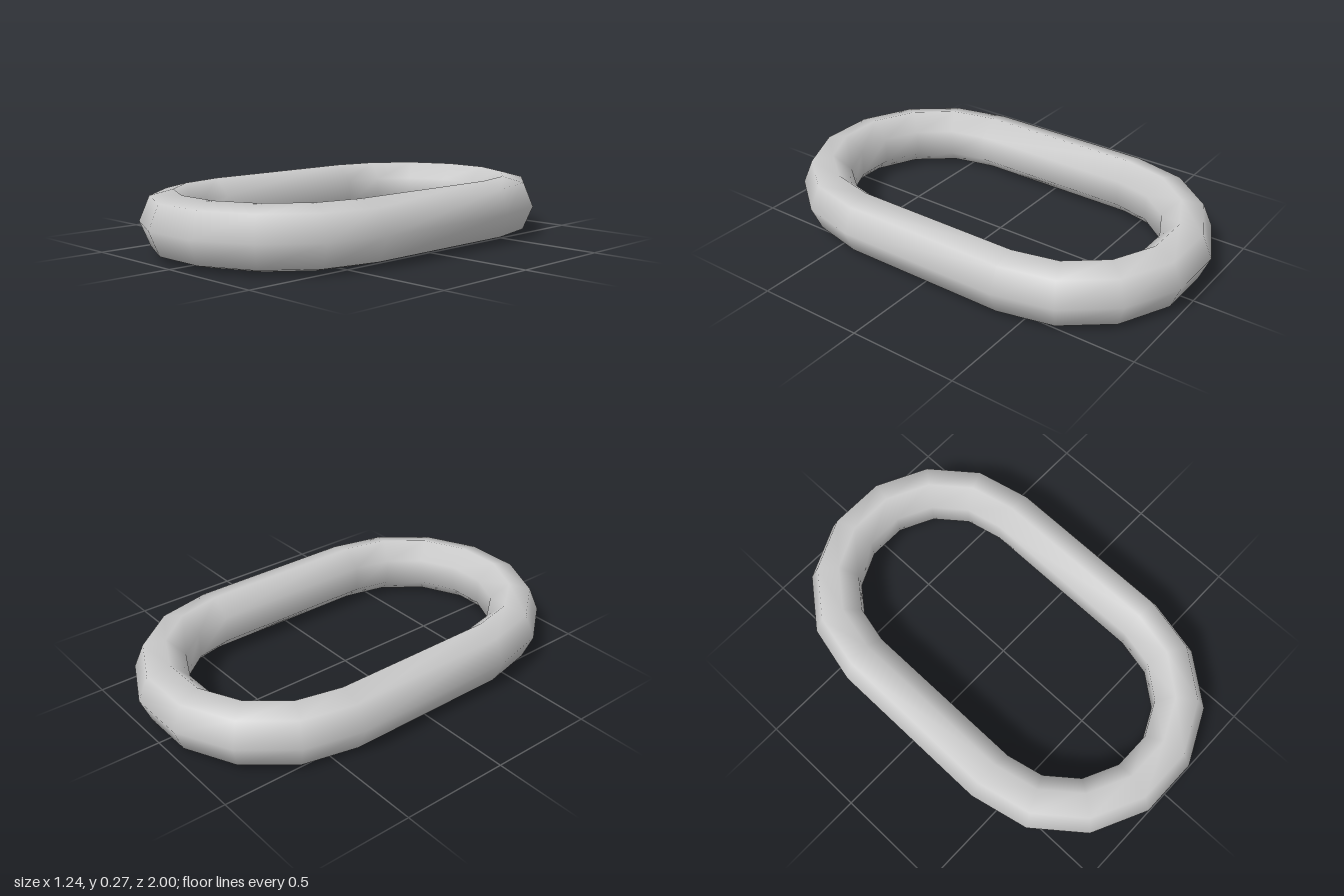
import * as THREE from 'three';

const ARC_STEPS = 7;      // segments in each rounded end
const SIDES = 7;          // sides of the bar's cross-section
const RING = 0.5;         // centre line radius of the rounded ends
const HALF_STRAIGHT = 0.395;
const BAR_X = 0.121, BAR_Y = 0.14, MID_Y = 0.137;

// Sweeps the heptagonal bar section around a closed stadium-shaped path.
function linkGeometry() {
  const positions = [], index = [];
  for (const end of [1, -1]) {
    for (let i = 0; i <= ARC_STEPS; i++) {
      const a = (i / ARC_STEPS - 0.5) * Math.PI;
      for (let j = 0; j < SIDES; j++) {
        const t = (j / SIDES) * Math.PI * 2;
        const r = RING + BAR_X * Math.cos(t);
        positions.push(
          end * r * Math.sin(a),
          MID_Y + BAR_Y * Math.sin(t),
          end * (r * Math.cos(a) + HALF_STRAIGHT)
        );
      }
    }
  }
  // Join each section to the next; the two long steps are the straight sides.
  const rings = 2 * (ARC_STEPS + 1);
  for (let i = 0; i < rings; i++) {
    const n = (i + 1) % rings;
    for (let j = 0; j < SIDES; j++) {
      const k = (j + 1) % SIDES;
      const a = i * SIDES + j, b = n * SIDES + j;
      const c = n * SIDES + k, d = i * SIDES + k;
      index.push(a, b, c, a, c, d);
    }
  }
  const geometry = new THREE.BufferGeometry();
  geometry.setAttribute('position', new THREE.Float32BufferAttribute(positions, 3));
  geometry.setIndex(index);
  geometry.computeVertexNormals();
  return geometry;
}

export function createModel() {
  const group = new THREE.Group();
  group.name = 'chainLink';
  const link = new THREE.Mesh(
    linkGeometry(),
    new THREE.MeshStandardMaterial({ color: 0xcccccc })
  );
  link.name = 'linkBar';
  group.add(link);
  return group;
}
